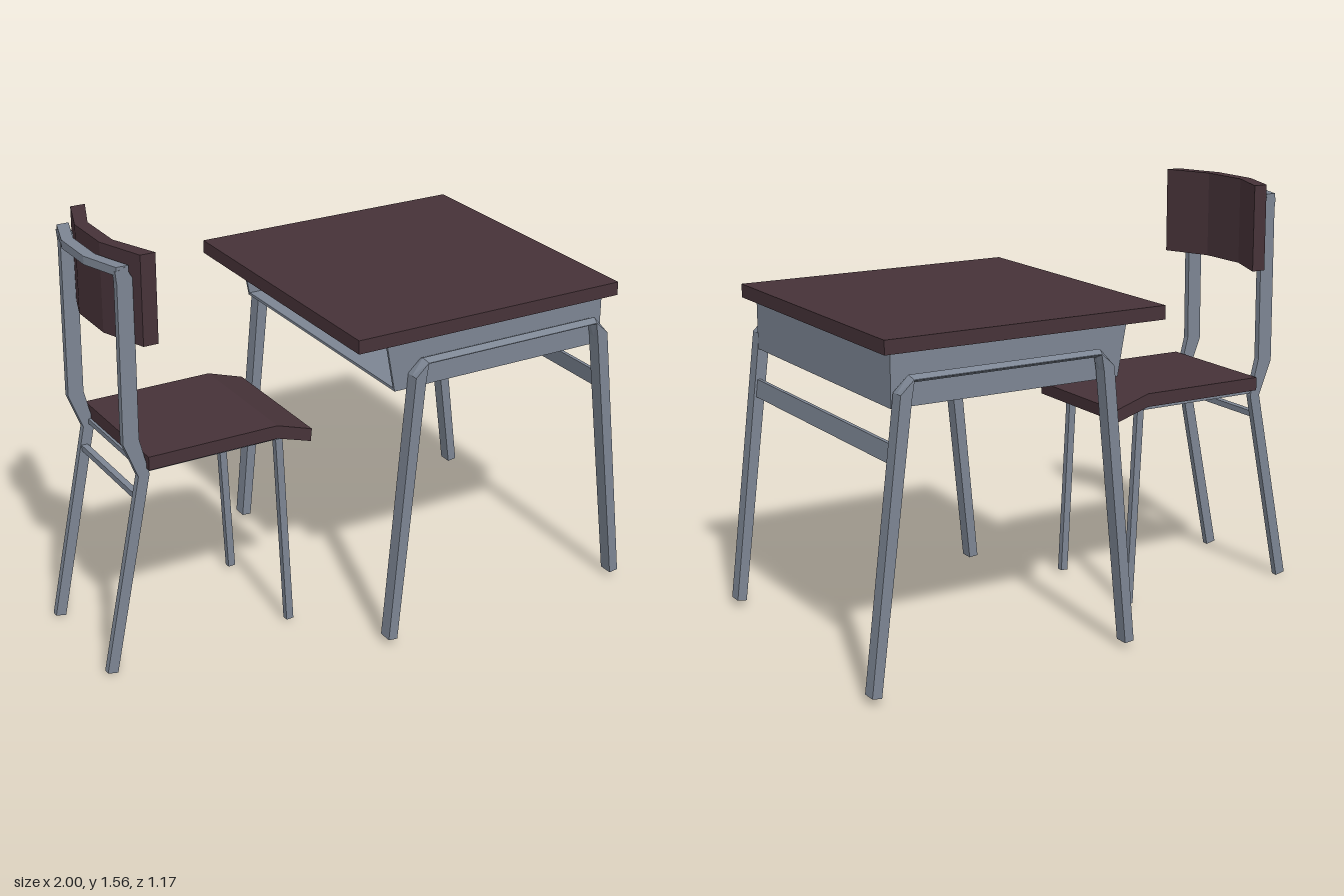
import * as THREE from 'three';

const brown = new THREE.MeshStandardMaterial({ color: 0x463238 });
brown.name = 'dark wood';
const grey = new THREE.MeshStandardMaterial({ color: 0x7c8593 });
grey.name = 'grey metal';

function add(parent, name, geometry, material) {
  const mesh = new THREE.Mesh(geometry, material);
  mesh.name = name;
  parent.add(mesh);
  return mesh;
}

// Box given by its limits on each axis
function box(x0, x1, y0, y1, z0, z1) {
  return new THREE.BoxGeometry(x1 - x0, y1 - y0, z1 - z0)
    .translate((x0 + x1) / 2, (y0 + y1) / 2, (z0 + z1) / 2);
}

function polygon(points) {
  return new THREE.Shape(points.map(([x, y]) => new THREE.Vector2(x, y)));
}

// Side profile (x, y) extruded along z
function profile(points, z0, z1) {
  return new THREE.ExtrudeGeometry(polygon(points), { depth: z1 - z0, bevelEnabled: false })
    .translate(0, 0, z0);
}

// Plan outline (x, z) extruded upwards
function plan(points, y0, y1) {
  return new THREE.ExtrudeGeometry(polygon(points.map(([x, z]) => [x, -z])), { depth: y1 - y0, bevelEnabled: false })
    .rotateX(-Math.PI / 2).translate(0, y0, 0);
}

// Faceted bar along a path in the xy plane. Each stop is [x, y, half thickness, corner share]:
// a corner share of 1 gives a rectangular section, near 0 a diamond.
function bar(stops, w, z) {
  const rings = stops.map(([x, y, h, share], i) => {
    const dir = new THREE.Vector2();
    for (const [a, b] of [[i - 1, i], [i, i + 1]]) {
      if (a < 0 || b >= stops.length) continue;
      dir.add(new THREE.Vector2(stops[b][0] - stops[a][0], stops[b][1] - stops[a][1]).normalize());
    }
    dir.normalize();
    const s = h * share;
    return [[s, -w], [h, 0], [s, w], [-s, w], [-h, 0], [-s, -w]]
      .map(([n, b]) => [x - dir.y * n, y + dir.x * n, z + b]);
  });
  const out = [];
  const tri = (a, b, c) => out.push(...a, ...b, ...c);
  for (let r = 0; r < rings.length - 1; r++) {
    for (let i = 0; i < 6; i++) {
      const j = (i + 1) % 6;
      tri(rings[r][i], rings[r][j], rings[r + 1][j]);
      tri(rings[r][i], rings[r + 1][j], rings[r + 1][i]);
    }
  }
  const first = rings[0], last = rings[rings.length - 1];
  for (let i = 1; i < 5; i++) {
    tri(first[0], first[i + 1], first[i]);
    tri(last[0], last[i], last[i + 1]);
  }
  const geometry = new THREE.BufferGeometry();
  geometry.setAttribute('position', new THREE.Float32BufferAttribute(out, 3));
  geometry.computeVertexNormals();
  return geometry;
}

function createDesk() {
  const desk = new THREE.Group();
  desk.name = 'desk';
  add(desk, 'deskTop', box(-0.17, 0.92, 1.17, 1.22, -0.565, 0.575), brown);

  // Book tray, open towards the chair
  const side = [[-0.035, 1.17], [0, 0.98], [0.88, 0.98], [0.88, 1.17]];
  add(desk, 'trayFloor', box(0, 0.88, 0.98, 0.99, -0.52, 0.53), grey);
  add(desk, 'trayEnd', box(0.87, 0.88, 0.98, 1.17, -0.52, 0.53), grey);
  add(desk, 'traySideLeft', profile(side, 0.525, 0.535), grey);
  add(desk, 'traySideRight', profile(side, -0.525, -0.515), grey);

  // Leg frames, one per side
  for (const z of [-0.56, 0.56]) {
    add(desk, 'deskLegFrame', bar([
      [-0.021, 0.02, 0.018, 1], [0.075, 1.03, 0.022, 1], [0.105, 1.082, 0.016, 0.1],
      [0.825, 1.082, 0.016, 0.1], [0.855, 1.03, 0.022, 1], [0.982, 0.02, 0.018, 1],
    ], 0.027, z), grey);
  }
  add(desk, 'deskStretcher', profile(
    [[0.874, 0.865], [0.882, 0.8], [0.896, 0.8], [0.888, 0.865]], -0.54, 0.54), grey);
  return desk;
}

function createChair() {
  const chair = new THREE.Group();
  chair.name = 'chair';
  chair.position.z = 0.012;

  // Seat with a drooping lip and its support plate
  add(chair, 'seat', profile([
    [-0.82, 0.77], [-0.32, 0.77], [-0.185, 0.728], [-0.18, 0.775], [-0.32, 0.82], [-0.82, 0.82],
  ], -0.264, 0.264), brown);
  add(chair, 'seatSupport', box(-0.83, -0.29, 0.752, 0.771, -0.235, 0.235), grey);

  // Bent backrest
  add(chair, 'backrest', plan([
    [-0.775, -0.28], [-0.845, -0.1], [-0.845, 0.1], [-0.775, 0.28],
    [-0.83, 0.28], [-0.893, 0.1], [-0.893, -0.1], [-0.83, -0.28],
  ], 1.235, 1.557), brown);

  // Legs and uprights
  for (const z of [-0.23, 0.23]) {
    add(chair, 'rearLegAndUpright', bar([
      [-0.98, 0, 0.02, 1], [-0.83, 0.745, 0.021, 1], [-0.873, 0.88, 0.03, 1],
      [-0.87, 1.46, 0.03, 1], [-0.885, 1.505, 0.02, 1],
    ], 0.0125, z), grey);
    add(chair, 'frontLeg', bar([[-0.262, 0.008, 0.014, 1], [-0.302, 0.756, 0.014, 1]], 0.0125, z), grey);
  }

  // Bowed top rail and rear stretcher
  add(chair, 'topRail', plan([
    [-0.855, -0.242], [-0.905, -0.09], [-0.905, 0.09], [-0.855, 0.242],
    [-0.9, 0.242], [-0.948, 0.09], [-0.948, -0.09], [-0.9, -0.242],
  ], 1.485, 1.515), grey);
  add(chair, 'rearStretcher', box(-0.862, -0.838, 0.652, 0.674, -0.23, 0.23), grey);
  return chair;
}

export function createModel() {
  const model = new THREE.Group();
  model.name = 'schoolDeskAndChair';
  model.add(createDesk(), createChair());
  return model;
}
